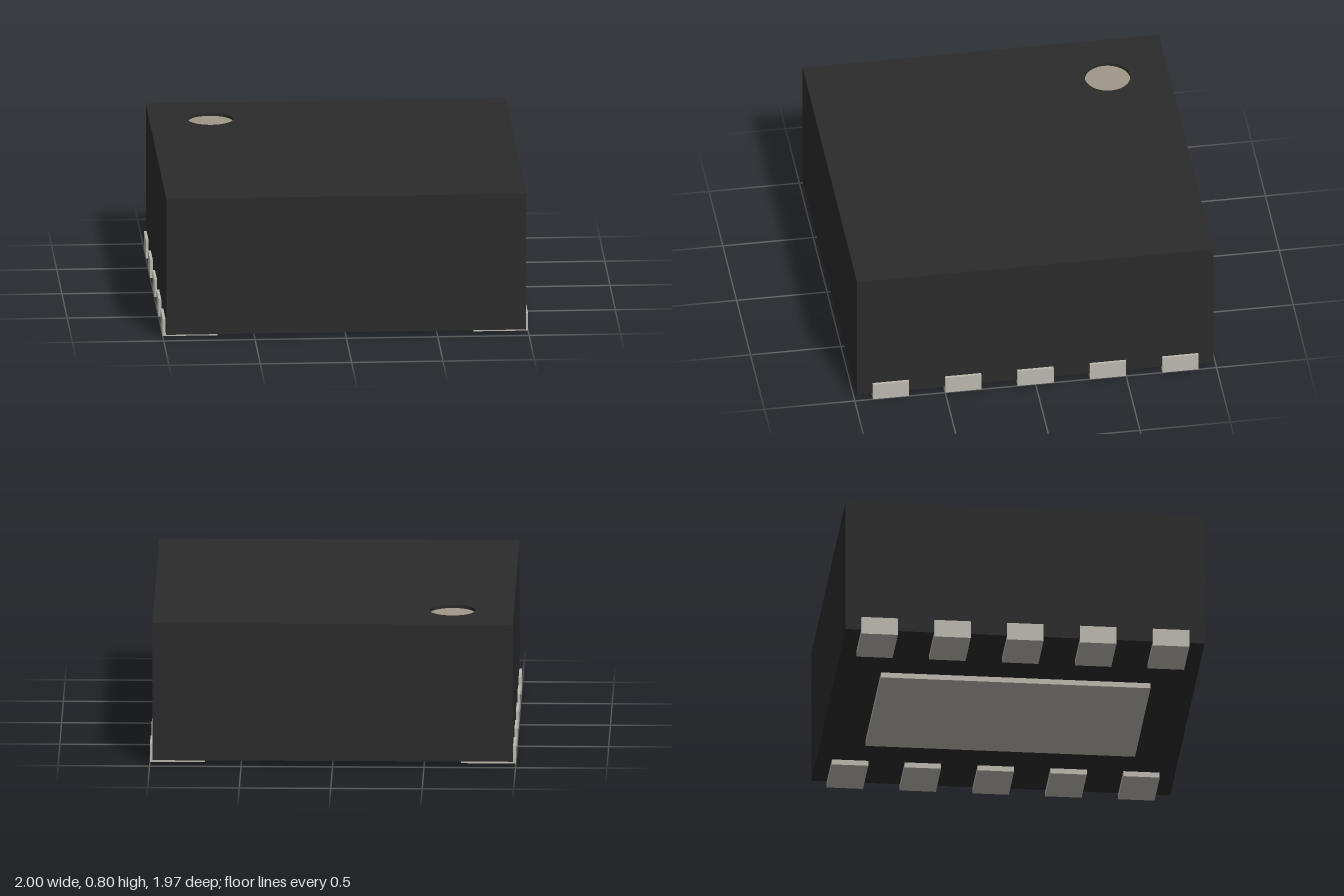
import * as THREE from 'three';

const HALF = 0.985, BASE = 0.03, TOP = 0.8, RECESS = 0.02;
const MARK = { x: -0.65, z: -0.65, r: 0.125 };

export function createModel() {
  const group = new THREE.Group();
  const dark = new THREE.MeshStandardMaterial({ color: 0x2b2b2b });
  const metal = new THREE.MeshStandardMaterial({ color: 0xbab8ae });
  const tan = new THREE.MeshStandardMaterial({ color: 0x9f9788 });

  const add = (name, geometry, material, x = 0, y = 0, z = 0) => {
    const mesh = new THREE.Mesh(geometry, material);
    mesh.name = name;
    mesh.position.set(x, y, z);
    group.add(mesh);
    return mesh;
  };

  // Moulded body: solid block with a thin top layer pierced by the marker recess
  const blockHeight = TOP - RECESS - BASE;
  add('body', new THREE.BoxGeometry(HALF * 2, blockHeight, HALF * 2), dark, 0, BASE + blockHeight / 2, 0);

  const square = new THREE.Shape([
    new THREE.Vector2(-HALF, -HALF), new THREE.Vector2(HALF, -HALF),
    new THREE.Vector2(HALF, HALF), new THREE.Vector2(-HALF, HALF),
  ]);
  square.holes.push(new THREE.Path().absarc(MARK.x, -MARK.z, MARK.r, 0, Math.PI * 2, true));
  const layer = new THREE.ExtrudeGeometry(square, { depth: RECESS, bevelEnabled: false, curveSegments: 48 });
  layer.rotateX(-Math.PI / 2);
  add('bodyTop', layer, dark, 0, TOP - RECESS, 0);

  // Round orientation marker on the recess floor
  const disc = new THREE.CircleGeometry(MARK.r, 48).rotateX(-Math.PI / 2);
  add('orientationMarker', disc, tan, MARK.x, TOP - RECESS + 0.002, MARK.z);

  // Large pad under the body
  add('centrePad', new THREE.BoxGeometry(0.89, BASE, 1.48), metal, 0, BASE / 2, 0);

  // L-shaped leads: a foot below the body and a short upright on its side
  const profile = new THREE.Shape([
    [0.7, 0], [1, 0], [1, 0.1], [HALF, 0.1], [HALF, BASE], [0.7, BASE],
  ].map(([x, y]) => new THREE.Vector2(x, y)));
  const lead = new THREE.ExtrudeGeometry(profile, { depth: 0.2, bevelEnabled: false });
  lead.translate(0, 0, -0.1);
  for (let i = -2; i <= 2; i++) {
    add('leftLead', lead, metal, 0, 0, i * 0.4);
    add('rightLead', lead, metal, 0, 0, i * 0.4).rotation.y = Math.PI;
  }

  return group;
}
